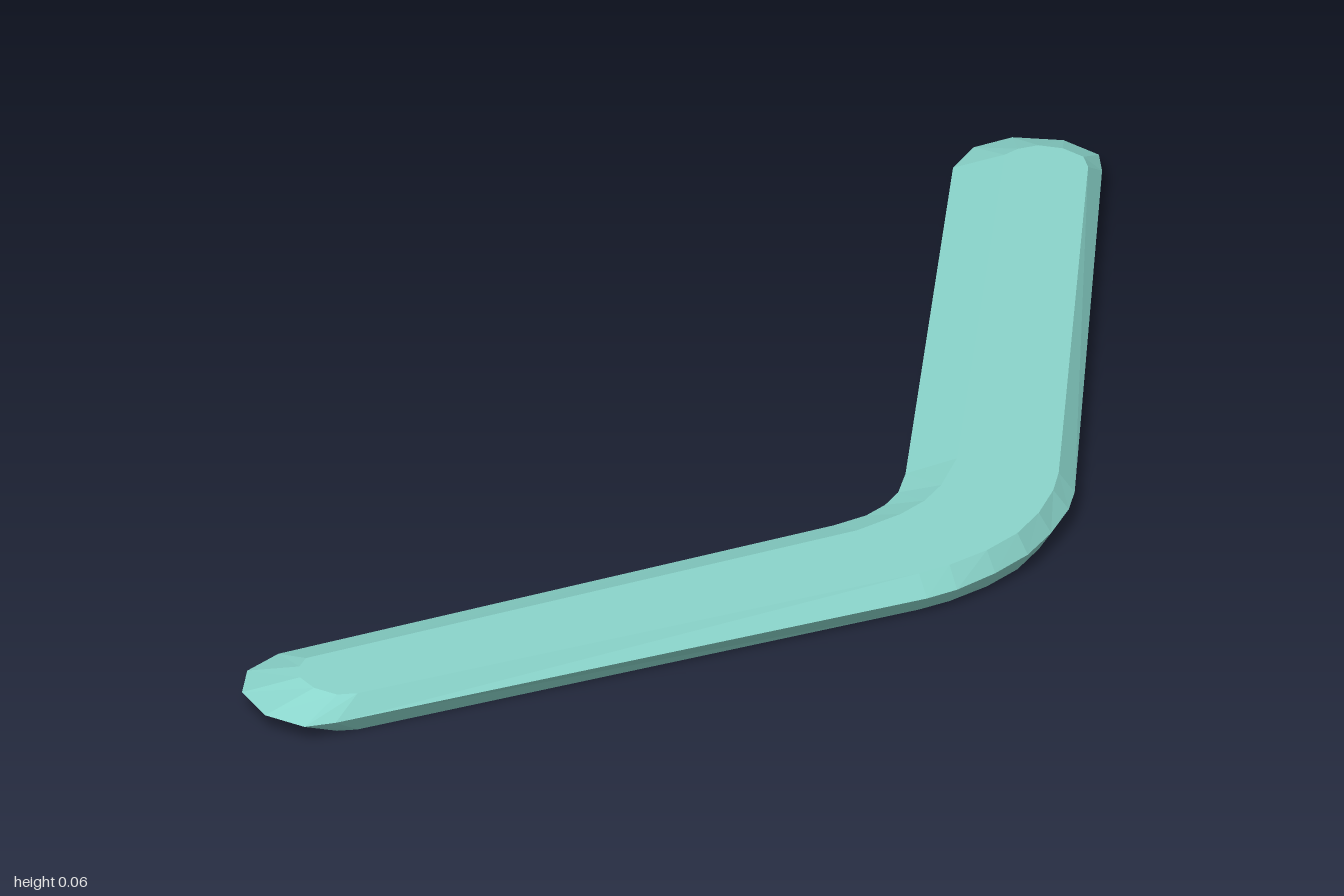
import * as THREE from 'three';

const HALF_HEIGHT = 0.03;

// Half outline, from the outer bend round the tip to the inner bend.
// Each row: rim x, rim z, flat-face x, flat-face z.
const HALF = [
  [0.364, 0, 0.346, 0],
  [0.356, 0.07, 0.338, 0.065],
  [0.338, 0.14, 0.318, 0.13],
  [0.317, 0.185, 0.296, 0.175],
  [-0.175, 0.96, -0.168, 0.915],
  [-0.205, 0.995, -0.19, 0.935],
  [-0.27, 1, -0.228, 0.938],
  [-0.335, 0.965, -0.262, 0.925],
  [-0.364, 0.91, -0.28, 0.9],
  [-0.355, 0.845, -0.286, 0.875],
  [0.088, 0.09, 0.153, 0.125],
  [0.11, 0.04, 0.178, 0.05],
  [0.115, 0, 0.184, 0],
];

function createModel() {
  const mirrored = HALF.slice(1, -1).reverse().map(([a, b, c, d]) => [a, -b, c, -d]);
  const loop = [...HALF, ...mirrored];
  const flat = loop.map((p) => new THREE.Vector2(p[2], p[3]));
  const faces = THREE.ShapeUtils.triangulateShape(flat, []);
  const positions = [];

  // Both sides share the sharp rim; the lower one is the mirror of the upper.
  for (const side of [1, -1]) {
    const rim = loop.map((p) => [p[0], HALF_HEIGHT, p[1]]);
    const face = loop.map((p) => [p[2], HALF_HEIGHT * (1 + side), p[3]]);
    const tri = (a, b, c) => positions.push(...a, ...(side > 0 ? b : c), ...(side > 0 ? c : b));

    // Bevels between rim and flat face
    loop.forEach((_, i) => {
      const j = (i + 1) % loop.length;
      tri(rim[i], face[i], rim[j]);
      tri(rim[j], face[i], face[j]);
    });

    // Flat face
    for (const [a, b, c] of faces) {
      const area = flat[b].clone().sub(flat[a]).cross(flat[c].clone().sub(flat[a]));
      if (area > 0) tri(face[a], face[c], face[b]);
      else tri(face[a], face[b], face[c]);
    }
  }

  const geometry = new THREE.BufferGeometry();
  geometry.setAttribute('position', new THREE.Float32BufferAttribute(positions, 3));
  geometry.computeVertexNormals();

  const material = new THREE.MeshStandardMaterial({ color: 0x8ad5cb });
  material.name = 'paleTeal';
  material.flatShading = true;

  const body = new THREE.Mesh(geometry, material);
  body.name = 'boomerangBody';
  const group = new THREE.Group();
  group.name = 'boomerang';
  group.add(body);
  return group;
}

export { createModel };
